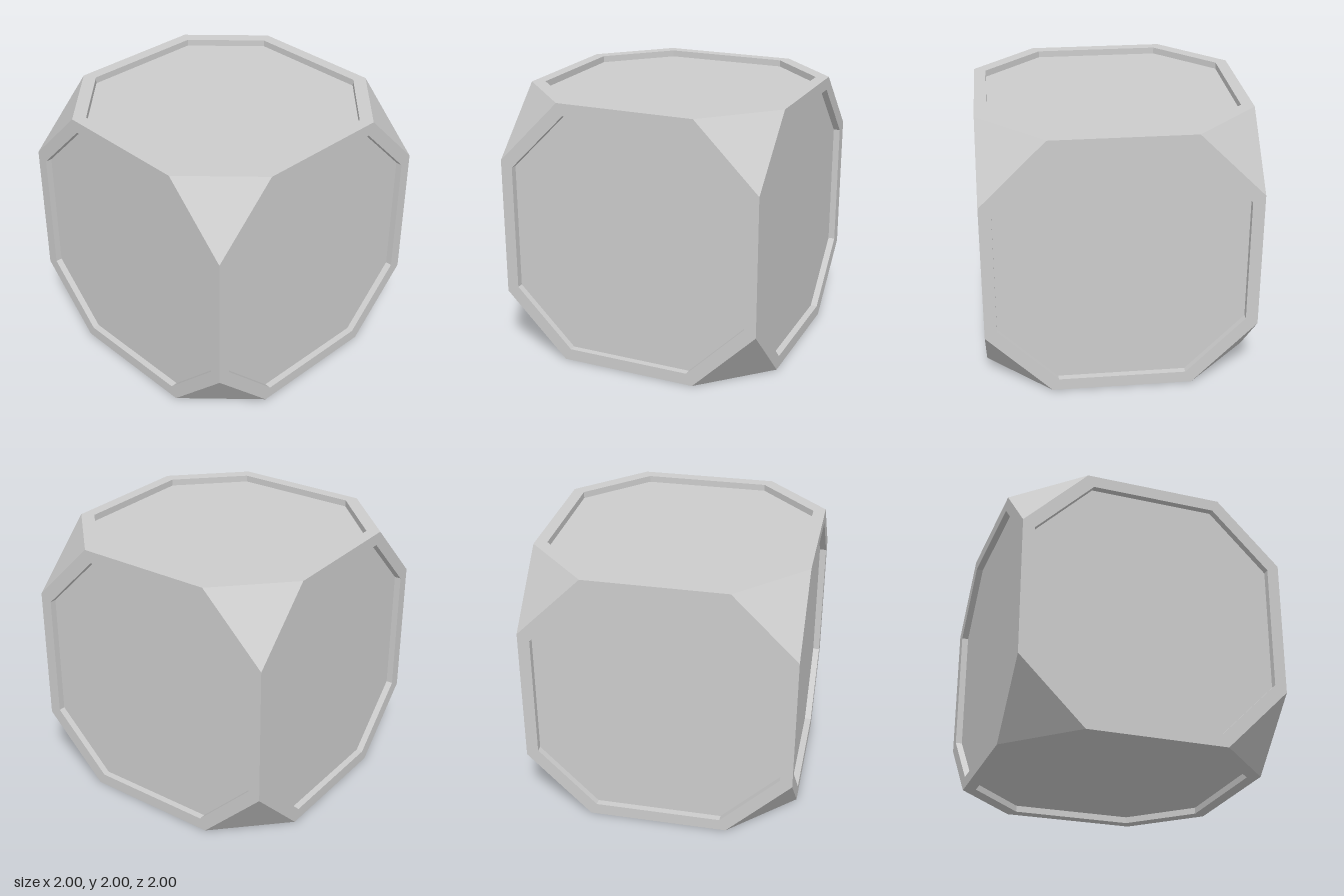
import * as THREE from 'three';

const HALF = 1;        // half the cube's width
const CUT = 0.52;      // half length of the edge left between two cut corners
const RECESS = 0.91;   // recess outline as a fraction of the side's outline
const DEPTH = 0.05;    // depth of the recess

// Octagon at height z, counter-clockwise seen from +z
function octagon(scale, z) {
  const h = HALF * scale, c = CUT * scale;
  return [[h, -c], [h, c], [c, h], [-c, h], [-h, c], [-h, -c], [-c, -h], [c, -h]]
    .map(([x, y]) => new THREE.Vector3(x, y, z));
}

// Flat-faced strips joining each ring to the next
function stripGeometry(rings) {
  const points = [];
  for (let r = 0; r < rings.length - 1; r++) {
    const a = rings[r], b = rings[r + 1];
    for (let i = 0; i < a.length; i++) {
      const j = (i + 1) % a.length;
      points.push(a[i], a[j], b[j], a[i], b[j], b[i]);
    }
  }
  return facets(points);
}

function facets(points) {
  const geometry = new THREE.BufferGeometry().setFromPoints(points);
  geometry.computeVertexNormals();
  return geometry;
}

export function createModel() {
  const model = new THREE.Group();
  model.name = 'truncatedCube';
  const material = new THREE.MeshStandardMaterial({ color: 0xcccccc, flatShading: true });

  const add = (parent, name, geometry) => {
    const mesh = new THREE.Mesh(geometry, material);
    mesh.name = name;
    parent.add(mesh);
  };

  // Rim with recess walls, and the sunken panel, shared by all six sides
  const sunken = octagon(RECESS, HALF - DEPTH);
  const rimGeometry = stripGeometry([octagon(1, HALF), octagon(RECESS, HALF), sunken]);
  const panelGeometry = new THREE.ShapeGeometry(new THREE.Shape(sunken));
  panelGeometry.translate(0, 0, HALF - DEPTH);

  const q = Math.PI / 2;
  const sides = {
    front: [0, 0], left: [0, q], back: [0, 2 * q], right: [0, -q],
    top: [-q, 0], bottom: [q, 0],
  };
  for (const [name, [rx, ry]] of Object.entries(sides)) {
    const side = new THREE.Group();
    side.name = name + 'Side';
    side.rotation.set(rx, ry, 0);
    side.position.y = HALF;
    add(side, name + 'Rim', rimGeometry);
    add(side, name + 'Panel', panelGeometry);
    model.add(side);
  }

  // Triangular facets across the eight cut corners
  const corners = new THREE.Group();
  corners.name = 'cutCorners';
  corners.position.y = HALF;
  for (const sx of [-1, 1]) for (const sy of [-1, 1]) for (const sz of [-1, 1]) {
    const triangle = [[CUT, HALF, HALF], [HALF, CUT, HALF], [HALF, HALF, CUT]]
      .map(([x, y, z]) => new THREE.Vector3(x * sx, y * sy, z * sz));
    if (sx * sy * sz < 0) triangle.reverse(); // keep the facet facing outward
    add(corners, 'cornerFacet', facets(triangle));
  }
  model.add(corners);

  return model;
}
